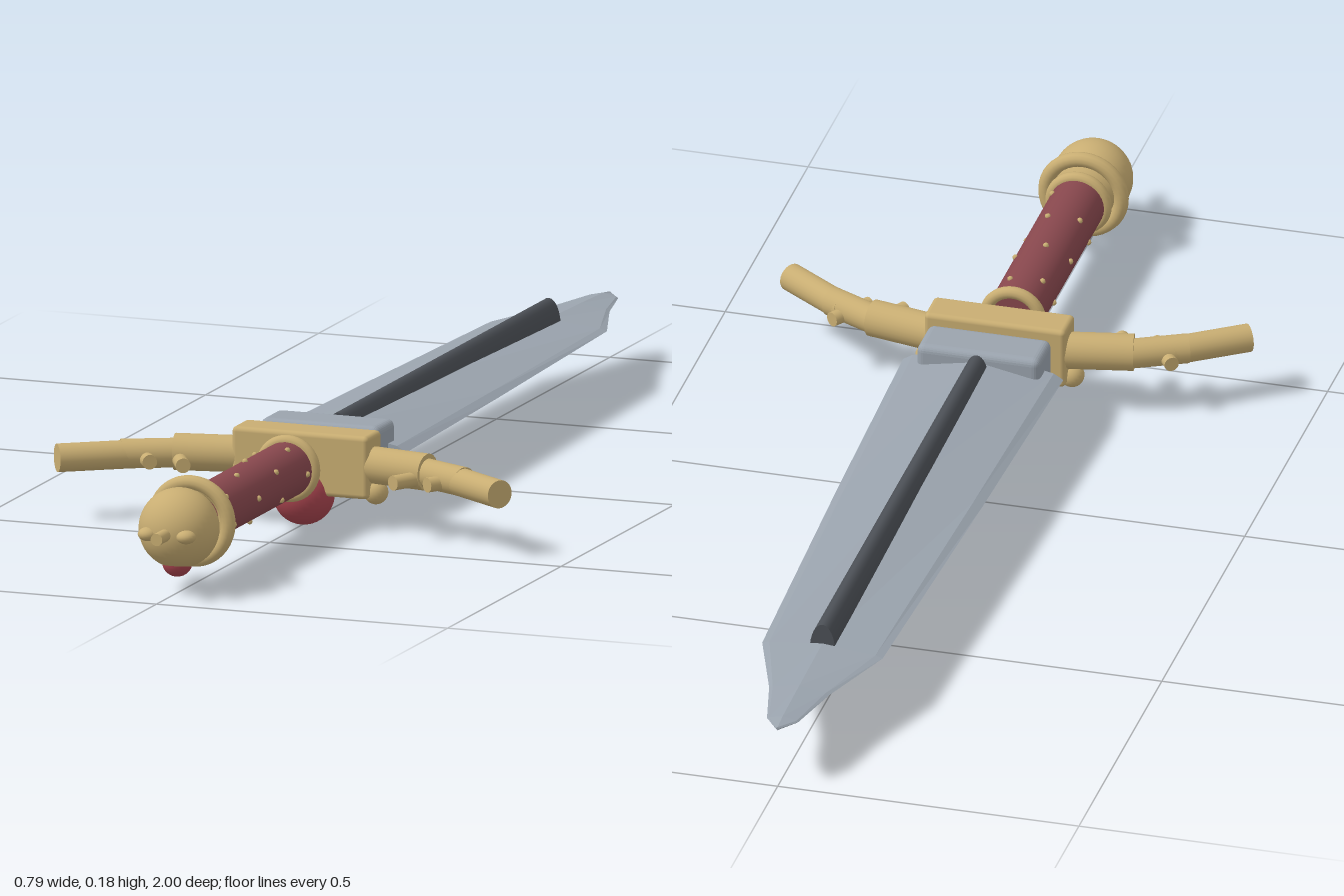
import * as THREE from 'three';
import { RoundedBoxGeometry } from 'three/addons/geometries/RoundedBoxGeometry.js';

const Y = 0.105; // height of the sword's long axis
const mat = (color, extra = {}) => {
  const m = new THREE.MeshStandardMaterial({ color });
  return Object.assign(m, extra);
};
const gold = mat(0xc8ad72);
const steel = mat(0x9aa3ad, { flatShading: true, side: THREE.DoubleSide });
const darkSteel = mat(0x4b4f55);
const leather = mat(0x87474d);
const ruby = mat(0xa8444e);

// Lofted blade: each station is [z, half width, half thickness]
function bladeGeometry() {
  const stations = [
    [0.24, 0.133, 0.032], [-0.2, 0.12, 0.025], [-0.73, 0.1, 0.013],
    [-0.87, 0.05, 0.01], [-0.97, 0.026, 0.007], [-1, 0.003, 0.003],
  ];
  const rings = stations.map(([z, w, t]) => {
    const b = w * 0.88, e = t * 0.3; // where the sharpened bevel starts
    return [[w, 0], [b, e], [0, t], [-b, e], [-w, 0], [-b, -e], [0, -t], [b, -e]]
      .map(([x, y]) => [x, y, z]);
  });
  const pos = [];
  const tri = (a, b, c) => pos.push(...a, ...b, ...c);
  const n = 8;
  for (let i = 0; i < rings.length - 1; i++) {
    for (let j = 0; j < n; j++) {
      const k = (j + 1) % n;
      const a = rings[i][j], b = rings[i][k], c = rings[i + 1][k], d = rings[i + 1][j];
      tri(a, d, b);
      tri(b, d, c);
    }
  }
  const last = rings.length - 1;
  for (let j = 0; j < n; j++) {
    const k = (j + 1) % n;
    tri([0, 0, stations[0][0]], rings[0][j], rings[0][k]);
    tri([0, 0, stations[last][0]], rings[last][k], rings[last][j]);
  }
  const g = new THREE.BufferGeometry();
  g.setAttribute('position', new THREE.Float32BufferAttribute(pos, 3));
  g.computeVertexNormals();
  return g;
}

export function createModel() {
  const sword = new THREE.Group();
  sword.name = 'sword';

  const add = (name, geometry, material, x, y, z, parent = sword) => {
    const m = new THREE.Mesh(geometry, material);
    m.name = name;
    m.position.set(x, y, z);
    parent.add(m);
    return m;
  };
  // Cylinder running along z between two z values
  const rod = (name, r, z0, z1, material) =>
    add(name, new THREE.CylinderGeometry(r, r, z1 - z0, 32).rotateX(Math.PI / 2),
      material, 0, Y, (z0 + z1) / 2);
  const ring = (name, r, tube, z) =>
    add(name, new THREE.TorusGeometry(r, tube, 12, 40), gold, 0, Y, z);
  // Cylinder between two points in the horizontal plane
  const bar = (name, r, x0, z0, x1, z1, y, parent) => {
    const d = new THREE.Vector3(x1 - x0, 0, z1 - z0);
    const m = add(name, new THREE.CylinderGeometry(r, r, d.length(), 24), gold,
      (x0 + x1) / 2, y, (z0 + z1) / 2, parent);
    m.quaternion.setFromUnitVectors(new THREE.Vector3(0, 1, 0), d.normalize());
    return m;
  };

  // Blade with its raised central rib and base block
  add('blade', bladeGeometry(), steel, 0, Y, 0);
  const rib = rod('bladeRib', 1, -0.73, 0.2, darkSteel);
  rib.scale.set(0.021, 0.047, 1);
  add('bladeBase', new RoundedBoxGeometry(0.204, 0.084, 0.08, 3, 0.012), steel, 0, 0.11, 0.245);

  // Crossguard
  add('guardBlock', new RoundedBoxGeometry(0.234, 0.103, 0.064, 3, 0.008), gold, 0, 0.103, 0.338);
  for (const side of [1, -1]) {
    const arm = new THREE.Group();
    arm.name = side > 0 ? 'leftGuardArm' : 'rightGuardArm';
    sword.add(arm);
    const part = (name, r, x0, z0, x1, z1, y) =>
      bar(name, r, side * x0, z0, side * x1, z1, y, arm);
    part('innerArm', 0.03, 0.1, 0.337, 0.217, 0.361, 0.104);
    part('middleArm', 0.024, 0.195, 0.35, 0.295, 0.4, 0.102);
    part('outerArm', 0.023, 0.27, 0.385, 0.38, 0.462, 0.101);
    part('innerThorn', 0.012, 0.215, 0.355, 0.18, 0.42, 0.095);
    part('outerThorn', 0.012, 0.282, 0.352, 0.238, 0.418, 0.096);
    add('armStud', new THREE.SphereGeometry(0.02, 20, 14), gold, side * 0.12, 0.06, 0.34, arm);
  }
  add('guardGem', new THREE.SphereGeometry(0.05, 32, 20), ruby, 0, 0.05, 0.35);

  // Grip with collars and a spiral of small studs
  rod('grip', 0.045, 0.425, 0.81, leather);
  ring('frontCollar', 0.045, 0.01, 0.42);
  ring('rearCollar', 0.045, 0.01, 0.815);
  const studs = new THREE.Group();
  studs.name = 'gripStuds';
  sword.add(studs);
  for (let i = 0; i < 18; i++) {
    const a = i * 1.15;
    add('gripStud', new THREE.SphereGeometry(0.005, 8, 6), gold,
      0.045 * Math.cos(a), Y + 0.045 * Math.sin(a), 0.45 + i * 0.0195, studs);
  }

  // Pommel
  ring('pommelRing', 0.063, 0.012, 0.845);
  add('pommel', new THREE.SphereGeometry(0.065, 36, 24), gold, 0, Y, 0.9);
  rod('pommelTip', 0.01, 0.95, 1, gold);
  for (const side of [1, -1]) {
    const knob = add('pommelKnob', new THREE.SphereGeometry(0.016, 18, 12), gold,
      side * 0.033, Y - 0.002, 0.954);
    knob.scale.y = 0.7;
  }
  add('pommelGem', new THREE.SphereGeometry(0.025, 20, 14), ruby, 0, 0.052, 0.908);

  return sword;
}
